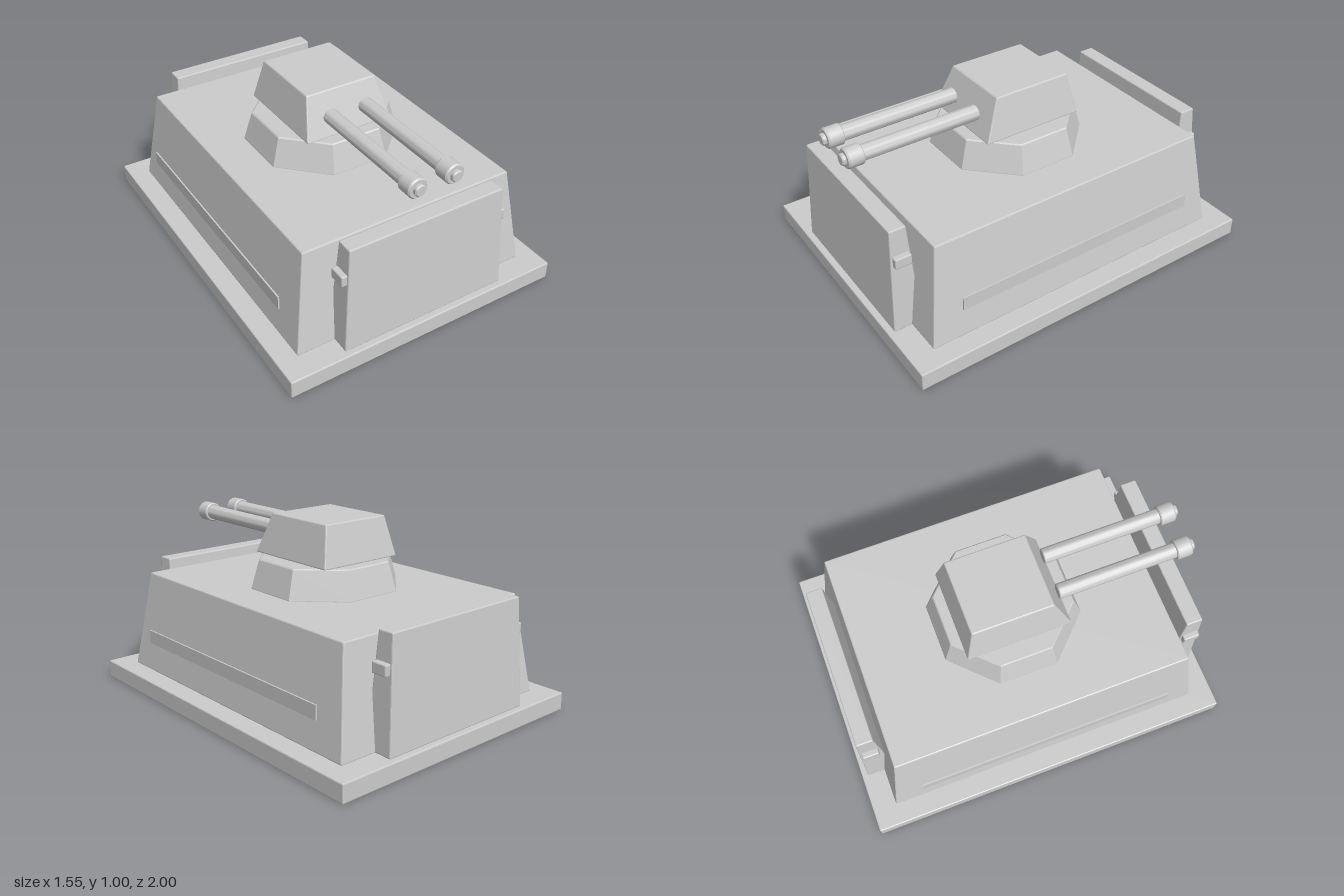
import * as THREE from 'three';
import { RoundedBoxGeometry } from 'three/addons/geometries/RoundedBoxGeometry.js';
import { toCreasedNormals } from 'three/addons/utils/BufferGeometryUtils.js';

const flat = new THREE.MeshStandardMaterial({ color: 0xcccccc, flatShading: true });
const smooth = new THREE.MeshStandardMaterial({ color: 0xcccccc });
const BEVEL = 0.006;

function add(parent, name, geometry, material = flat) {
  const mesh = new THREE.Mesh(geometry, material);
  mesh.name = name;
  parent.add(mesh);
  return mesh;
}

// Bevelled block; bottom and top are { x: half width, z: [back, front] }
function block(y0, y1, bottom, top = bottom) {
  const h = y1 - y0;
  const geometry = new RoundedBoxGeometry(1, h, 1, 1, Math.min(BEVEL, h / 4));
  const p = geometry.attributes.position;
  const bevelled = (v, size) => {
    // keep the bevel at its true width after stretching
    const inset = (0.5 - Math.abs(v)) * 2;
    return Math.sign(v) * (size / 2 - inset / 2);
  };
  for (let i = 0; i < p.count; i++) {
    const t = p.getY(i) / h + 0.5;
    const halfX = THREE.MathUtils.lerp(bottom.x, top.x, t);
    const back = THREE.MathUtils.lerp(bottom.z[0], top.z[0], t);
    const front = THREE.MathUtils.lerp(bottom.z[1], top.z[1], t);
    p.setXYZ(i, bevelled(p.getX(i), halfX * 2), y0 + t * h,
      (back + front) / 2 + bevelled(p.getZ(i), front - back));
  }
  geometry.computeVertexNormals();
  return geometry;
}

function lathe(profile, segments, phi = 0) {
  return new THREE.LatheGeometry(profile.map(([r, y]) => new THREE.Vector2(r, y)), segments, phi);
}

export function createModel() {
  const model = new THREE.Group();
  model.name = 'turretBunker';

  // Base slab and sloped hull
  add(model, 'base', block(0, 0.097, { x: 0.775, z: [-1, 1] }));
  add(model, 'hull', block(0.095, 0.627, { x: 0.668, z: [-0.873, 0.873] }, { x: 0.592, z: [-0.797, 0.797] }));

  // Armour plates with cross pins at the front and back
  for (const [end, turn] of [['front', 0], ['back', Math.PI]]) {
    const plate = new THREE.Group();
    plate.name = end + 'Armour';
    add(plate, end + 'Plate', block(0.095, 0.67, { x: 0.465, z: [0.81, 0.967] }, { x: 0.435, z: [0.85, 0.938] }));
    add(plate, end + 'Pin', block(0.473, 0.53, { x: 0.472, z: [0.848, 0.935] }));
    plate.rotation.y = turn;
    model.add(plate);
  }

  // Thin strips standing just off the hull sides
  for (const [side, s] of [['left', 1], ['right', -1]]) {
    const strip = add(model, side + 'SideStrip', new THREE.BoxGeometry(0.008, 0.074, 1.405));
    strip.position.set(s * 0.666, 0.292, 0);
  }

  // Octagonal turret ring
  const k = 1 / Math.cos(Math.PI / 8);
  add(model, 'turretRing', lathe([
    [0, 0.62], [0.374 * k, 0.62], [0.374 * k, 0.63], [0.334 * k, 0.776], [0.328 * k, 0.782], [0, 0.782],
  ], 8, Math.PI / 8));

  // Tapered turret
  add(model, 'turret', block(0.784, 1, { x: 0.247, z: [-0.28, 0.277] }, { x: 0.2, z: [-0.235, 0.19] }));

  // Twin guns: barrel, muzzle collar and stepped tip
  const gun = toCreasedNormals(lathe([
    [0, 0.25], [0.036, 0.25], [0.04, 0.254], [0.04, 0.882], [0.048, 0.882], [0.053, 0.887],
    [0.053, 0.958], [0.047, 0.966], [0.03, 0.966], [0.03, 0.98], [0.025, 0.986], [0, 0.986],
  ], 24), 0.6);
  gun.rotateX(Math.PI / 2);
  for (const [side, s] of [['left', 1], ['right', -1]]) {
    add(model, side + 'Gun', gun, smooth).position.set(s * 0.102, 0.893, 0);
  }
  return model;
}
